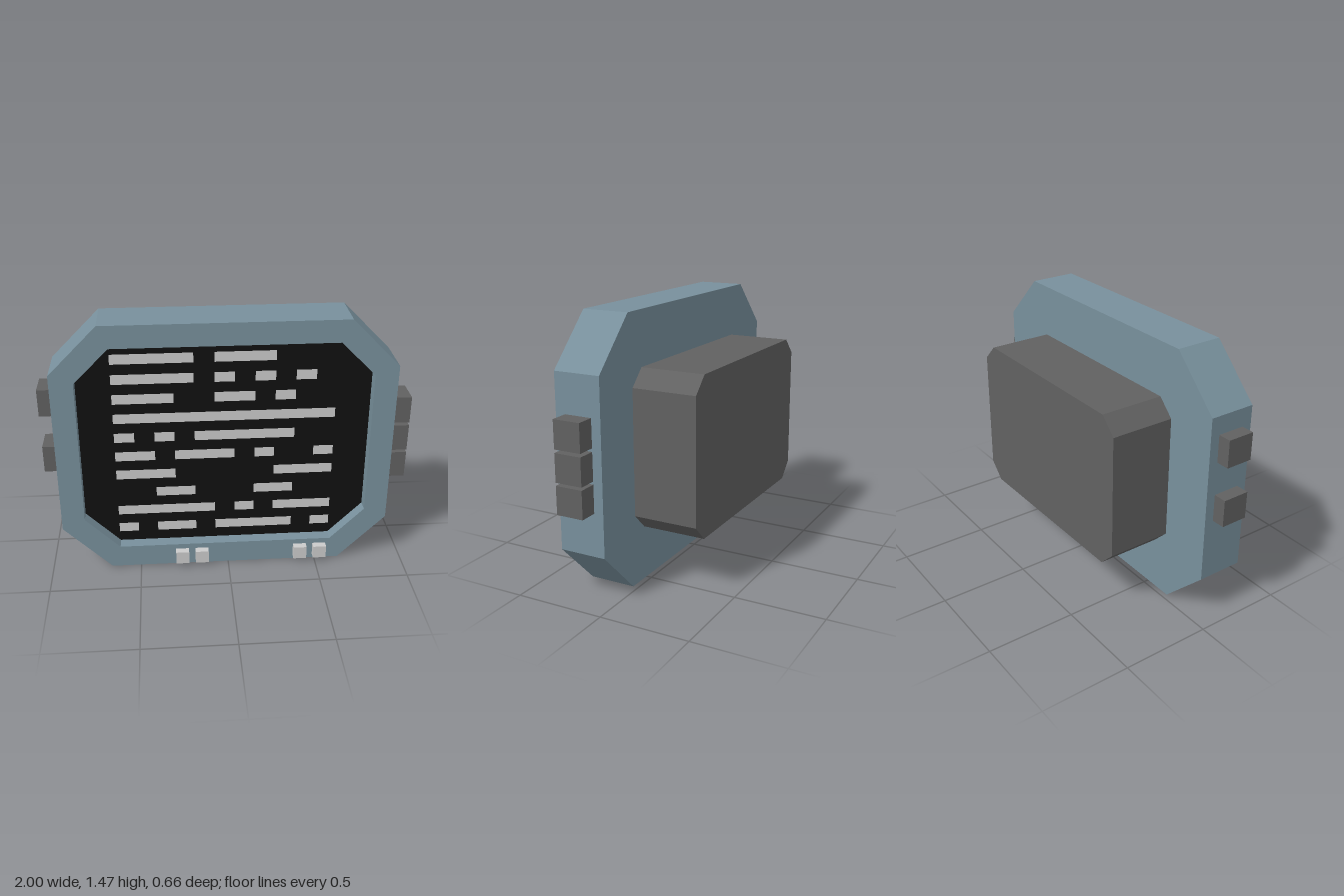
import * as THREE from 'three';

const paint = (color) => new THREE.MeshStandardMaterial({ color });
const CX = -0.0135; // the casing sits slightly off centre, as the side buttons differ in length

// Closed outline of a rectangle with cut corners (cutX, cutY)
function octagon(Type, x0, x1, y0, y1, cutX, cutY) {
  return new Type([
    [x0 + cutX, y0], [x1 - cutX, y0], [x1, y0 + cutY], [x1, y1 - cutY],
    [x1 - cutX, y1], [x0 + cutX, y1], [x0, y1 - cutY], [x0, y0 + cutY],
  ].map(([x, y]) => new THREE.Vector2(x, y)));
}

export function createModel() {
  const model = new THREE.Group();
  const casing = paint(0x78909c), dark = paint(0x616161);
  const black = paint(0x101010), light = paint(0xbdbdbd);

  const add = (name, geometry, material, z = 0) => {
    const mesh = new THREE.Mesh(geometry, material);
    mesh.name = name;
    mesh.position.z = z;
    model.add(mesh);
    return mesh;
  };
  const slab = (name, shape, depth, z, material) =>
    add(name, new THREE.ExtrudeGeometry(shape, { depth, bevelEnabled: false }), material, z);
  const box = (name, x0, x1, y0, y1, z0, z1, material) =>
    add(name, new THREE.BoxGeometry(x1 - x0, y1 - y0, z1 - z0), material)
      .position.set((x0 + x1) / 2, (y0 + y1) / 2, (z0 + z1) / 2);

  // Casing: solid rear plate and a raised rim around the screen
  const outline = () => octagon(THREE.Shape, CX - 0.914, CX + 0.914, 0, 1.465, 0.263, 0.265);
  const opening = [CX - 0.7875, CX + 0.7875, 0.13, 1.34, 0.188, 0.19];
  const rim = outline();
  rim.holes.push(octagon(THREE.Path, ...opening));
  slab('casing', outline(), 0.19, 0.03, casing);
  slab('screenRim', rim, 0.07, 0.22, casing);

  // Recessed screen
  add('screen', new THREE.ShapeGeometry(octagon(THREE.Shape, ...opening)), black, 0.222);

  // Lines on the screen: each run fills neighbouring cells of an 11-column grid
  const rows = [
    '####.###...', '####.#.#.#.', '###..##.#..', '###########', '#.#.#####..',
    '##.###.#..#', '###.....###', '..##...##..', '#####.#.###', '#.##.####.#',
  ];
  const cell = 1.2 / 11;
  rows.forEach((row, r) => {
    for (const run of row.matchAll(/#+/g)) {
      const width = run[0].length * cell;
      const bar = add('screenLine', new THREE.PlaneGeometry(width, 0.056), light);
      bar.position.set(-0.615 + run.index * cell + width / 2, 1.255 - r * 0.115, 0.226);
    }
  });

  // Rear housing
  slab('rearHousing', octagon(THREE.Shape, CX - 0.62, CX + 0.62, 0.3, 1.17, 0.09, 0.09), 0.36, -0.33, dark);

  // Side buttons
  for (const y of [0.913, 0.743, 0.575]) box('leftButton', 0.9, 1, y - 0.076, y + 0.076, 0.083, 0.235, dark);
  for (const y of [1.022, 0.686]) box('rightButton', -1, -0.925, y - 0.076, y + 0.076, 0.083, 0.235, dark);

  // Small front keys
  for (const x of [-0.262, -0.151, 0.412, 0.525]) box('frontKey', x - 0.037, x + 0.037, 0.025, 0.1, 0.285, 0.33, light);

  return model;
}
